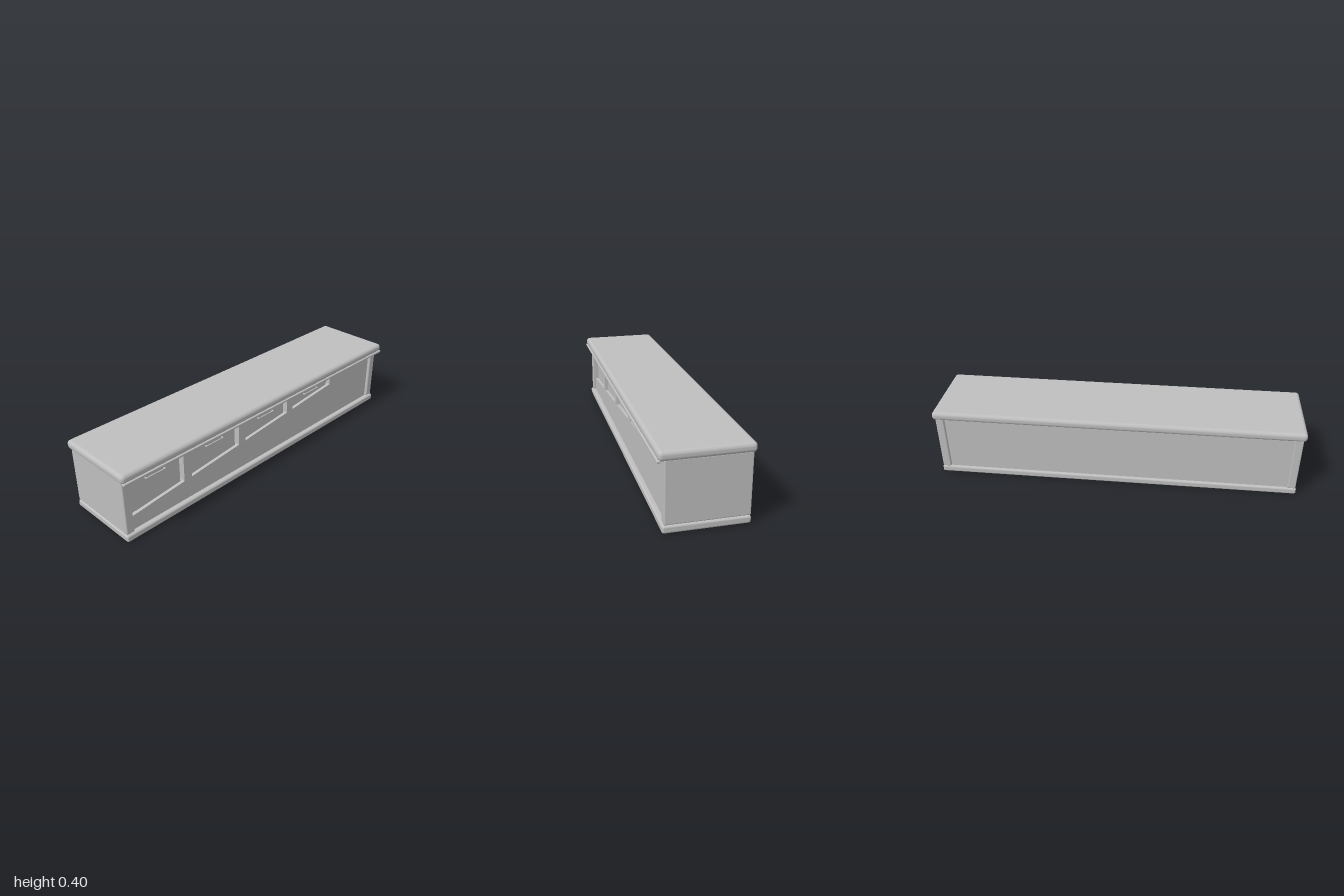
import * as THREE from 'three';
import { RoundedBoxGeometry } from 'three/addons/geometries/RoundedBoxGeometry.js';

const grey = new THREE.MeshStandardMaterial({ color: 0xbebebe });
grey.name = 'plain grey';

// Rounded board given by its min and max corners
function board(name, [x0, y0, z0], [x1, y1, z1], radius) {
  const geometry = new RoundedBoxGeometry(x1 - x0, y1 - y0, z1 - z0, 4, radius);
  const mesh = new THREE.Mesh(geometry, grey);
  mesh.position.set((x0 + x1) / 2, (y0 + y1) / 2, (z0 + z1) / 2);
  mesh.name = name;
  return mesh;
}

export function createModel() {
  const group = new THREE.Group();
  group.name = 'longCabinet';

  // Worktop, front lip and base
  group.add(board('worktop', [-1, 0.352, -0.225], [1, 0.4, 0.222], 0.02));
  group.add(board('frontLip', [-0.995, 0.346, 0.209], [0.995, 0.36, 0.227], 0.005));
  group.add(board('base', [-0.99, 0.003, -0.214], [0.99, 0.04, 0.201], 0.01));
  group.add(board('baseSole', [-0.98, 0, -0.204], [0.98, 0.02, 0.19], 0.002));

  // End panels
  for (const side of [-1, 1]) {
    const x = side * 0.962;
    group.add(board('endPanel', [x - 0.023, 0.041, -0.214], [x + 0.023, 0.356, 0.192], 0.007));
  }

  // Carcass between the ends, with the back panel slightly recessed
  group.add(board('carcass', [-0.945, 0.035, -0.2], [0.945, 0.356, 0.14], 0.002));

  // Front frame: four openings over a sill that rises to the right
  const frame = new THREE.Shape([
    new THREE.Vector2(-0.945, 0.038), new THREE.Vector2(0.945, 0.038),
    new THREE.Vector2(0.945, 0.356), new THREE.Vector2(-0.945, 0.356),
  ]);
  const width = 0.335, pitch = 0.385, top = 0.312;
  const sill = (x) => 0.12 + (x + 0.94) * 0.098;
  for (let i = 0; i < 4; i++) {
    const x0 = -0.94 + i * pitch, x1 = x0 + width, mid = (x0 + x1) / 2;
    frame.holes.push(new THREE.Path([
      new THREE.Vector2(x0, sill(x0)), new THREE.Vector2(x0, top),
      new THREE.Vector2(x1, top), new THREE.Vector2(x1, sill(x1)),
    ]));

    // Drawer front and its handle
    const drawer = new THREE.Group();
    drawer.name = 'drawer';
    drawer.add(board('drawerFront', [x0 + 0.009, 0.123, 0.13], [x1 - 0.012, 0.305, 0.158], 0.004));
    drawer.add(board('handleBar', [mid - 0.06, 0.28, 0.166], [mid + 0.06, 0.287, 0.172], 0.002));
    for (const side of [-1, 1]) {
      const x = mid + side * 0.057;
      drawer.add(board('handleMount', [x - 0.003, 0.28, 0.154], [x + 0.003, 0.287, 0.17], 0.001));
    }
    group.add(drawer);
  }
  const front = new THREE.Mesh(
    new THREE.ExtrudeGeometry(frame, { depth: 0.037, bevelEnabled: false }), grey);
  front.position.z = 0.138;
  front.name = 'frontFrame';
  group.add(front);

  return group;
}
